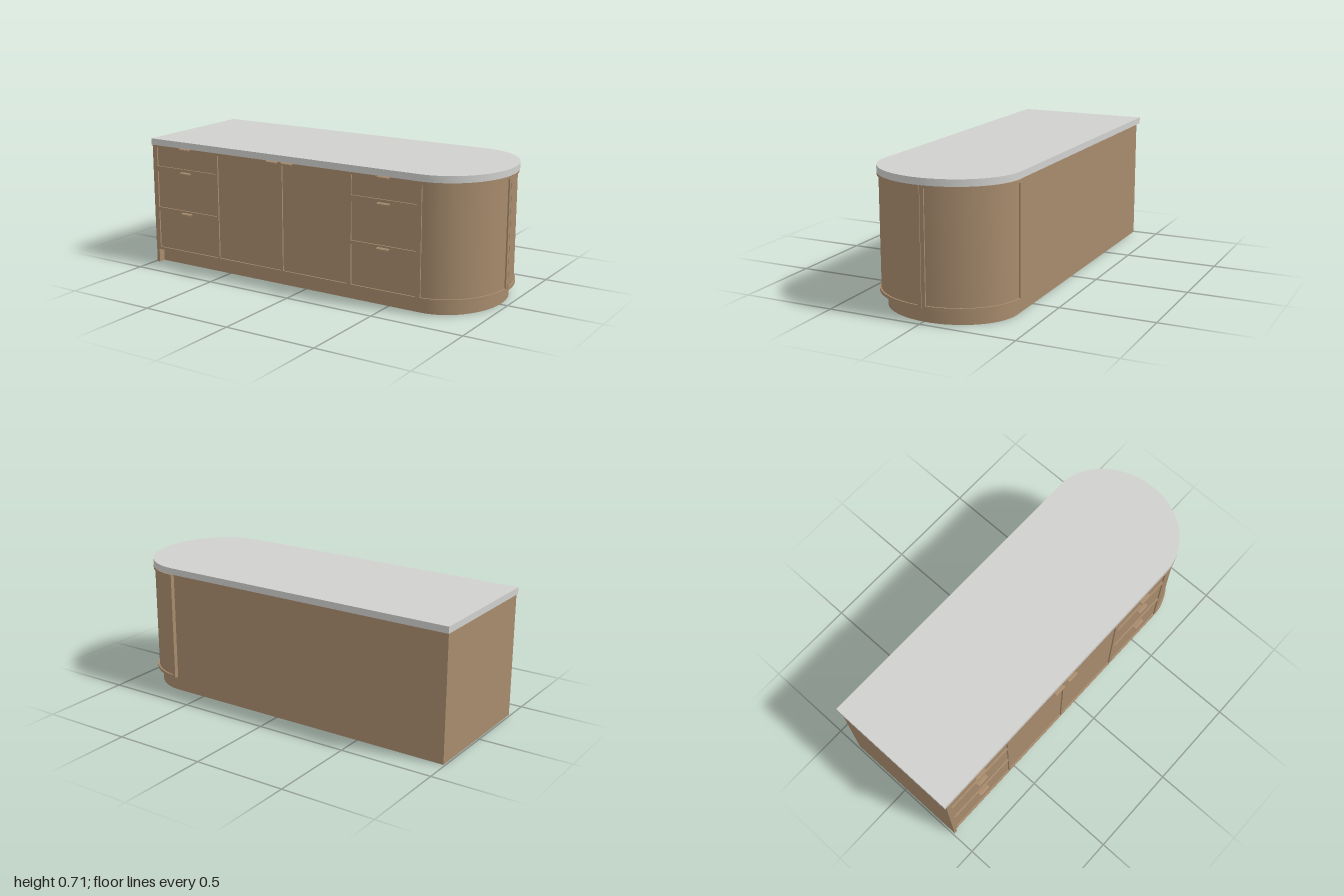
import * as THREE from 'three';
import { toCreasedNormals } from 'three/addons/utils/BufferGeometryUtils.js';

const wood = new THREE.MeshStandardMaterial({ color: 0xa78b6d });
wood.name = 'oak';
const stone = new THREE.MeshStandardMaterial({ color: 0xd0d0ce });
stone.name = 'pale stone';

const BEND = 0.68; // x where the rounded end begins

// points on the half ellipse of the rounded end, from angle a (front = 90) to b (back = -90)
function arc(cz, rx, rz, a = 90, b = -90) {
  const n = Math.max(2, Math.round((a - b) / 5));
  return Array.from({ length: n + 1 }, (_, i) => {
    const t = THREE.MathUtils.degToRad(a + ((b - a) * i) / n);
    return [BEND + rx * Math.cos(t), cz + rz * Math.sin(t)];
  });
}

// upright prism over a plan outline given as [x, z] points
function prism(name, plan, y0, y1, material, hole) {
  const toVec = (pts) => pts.map(([x, z]) => new THREE.Vector2(x, -z));
  const shape = new THREE.Shape(toVec(plan));
  if (hole) shape.holes.push(new THREE.Path(toVec(hole)));
  const geo = new THREE.ExtrudeGeometry(shape, { depth: y1 - y0, bevelEnabled: false });
  geo.rotateX(-Math.PI / 2).translate(0, y0, 0);
  const mesh = new THREE.Mesh(toCreasedNormals(geo, 0.5), material);
  mesh.name = name;
  return mesh;
}

function box(name, x0, x1, y0, y1, z0, z1) {
  const mesh = new THREE.Mesh(new THREE.BoxGeometry(x1 - x0, y1 - y0, z1 - z0), wood);
  mesh.position.set((x0 + x1) / 2, (y0 + y1) / 2, (z0 + z1) / 2);
  mesh.name = name;
  return mesh;
}

// curved strip of the rounded end's frame
function curvedStrip(name, a, b, y0, y1) {
  const outer = arc(-0.009, 0.314, 0.374, a, b);
  const inner = arc(-0.009, 0.302, 0.362, a, b).reverse();
  return prism(name, [...outer, ...inner], y0, y1, wood);
}

// small hooked pull seen in profile, extruded along x
function handle(x, y) {
  const profile = new THREE.Shape();
  [[0.355, 0], [0.379, 0], [0.384, -0.004], [0.385, -0.012], [0.381, -0.012], [0.378, -0.005], [0.355, -0.005]]
    .forEach(([z, h], i) => (i ? profile.lineTo(-z, h) : profile.moveTo(-z, h)));
  const geo = new THREE.ExtrudeGeometry(profile, { depth: 0.066, bevelEnabled: false });
  geo.rotateY(Math.PI / 2).translate(x - 0.033, y, 0);
  const mesh = new THREE.Mesh(geo, wood);
  mesh.name = 'handle';
  return mesh;
}

export function createModel() {
  const island = new THREE.Group();
  island.name = 'kitchenIsland';

  // worktop
  island.add(prism('worktop', [[-1, 0.364], ...arc(-0.006, 0.32, 0.37), [-1, -0.376]], 0.672, 0.707, stone));

  // carcass, with the rounded end standing slightly proud of the back
  island.add(prism('carcass',
    [[-0.985, 0.357], ...arc(-0.009, 0.306, 0.366), [BEND, -0.359], [-0.985, -0.359]], 0.075, 0.672, wood));

  // hollow plinth set back under the front
  island.add(prism('plinth',
    [[-0.985, 0.325], ...arc(-0.017, 0.28, 0.342), [-0.985, -0.359]], 0, 0.075, wood,
    [[-0.973, 0.313], ...arc(-0.017, 0.268, 0.33), [-0.973, -0.347]]));

  // end panel down to the floor
  island.add(box('endPanel', -0.991, -0.973, 0, 0.672, -0.359, 0.364));

  // front frame with openings for drawers and doors
  const rect = (x0, x1, y0, y1, Type) => new Type([[x0, y0], [x1, y0], [x1, y1], [x0, y1]]
    .map(([x, y]) => new THREE.Vector2(x, y)));
  const frame = rect(-0.991, BEND + 0.004, 0.075, 0.672, THREE.Shape);
  const openings = [[-0.54, -0.131, 0.09, 0.66], [-0.119, 0.276, 0.09, 0.66]];
  for (const [x0, x1] of [[-0.962, -0.552], [0.3, 0.672]]) {
    openings.push([x0, x1, 0.09, 0.302], [x0, x1, 0.322, 0.526], [x0, x1, 0.556, 0.66]);
  }
  openings.forEach((o) => frame.holes.push(rect(...o, THREE.Path)));
  const front = new THREE.Mesh(new THREE.ExtrudeGeometry(frame, { depth: 0.01, bevelEnabled: false }), wood);
  front.position.z = 0.355;
  front.name = 'frontFrame';
  island.add(front);

  // two curved doors on the rounded end: rails and stiles
  for (const [a, b] of [[90, 0.2], [-0.2, -90]]) {
    const door = new THREE.Group();
    door.name = 'curvedDoorFrame';
    door.add(
      curvedStrip('bottomRail', a, b, 0.075, 0.091),
      curvedStrip('topRail', a, b, 0.657, 0.672),
      curvedStrip('stile', a, a - 3, 0.091, 0.657),
      curvedStrip('stile', b + 3, b, 0.091, 0.657));
    island.add(door);
  }

  // pulls on drawers and doors
  for (const x of [-0.755, 0.49]) for (const y of [0.674, 0.541, 0.312]) island.add(handle(x, y));
  for (const x of [-0.175, -0.08]) island.add(handle(x, 0.674));

  return island;
}
